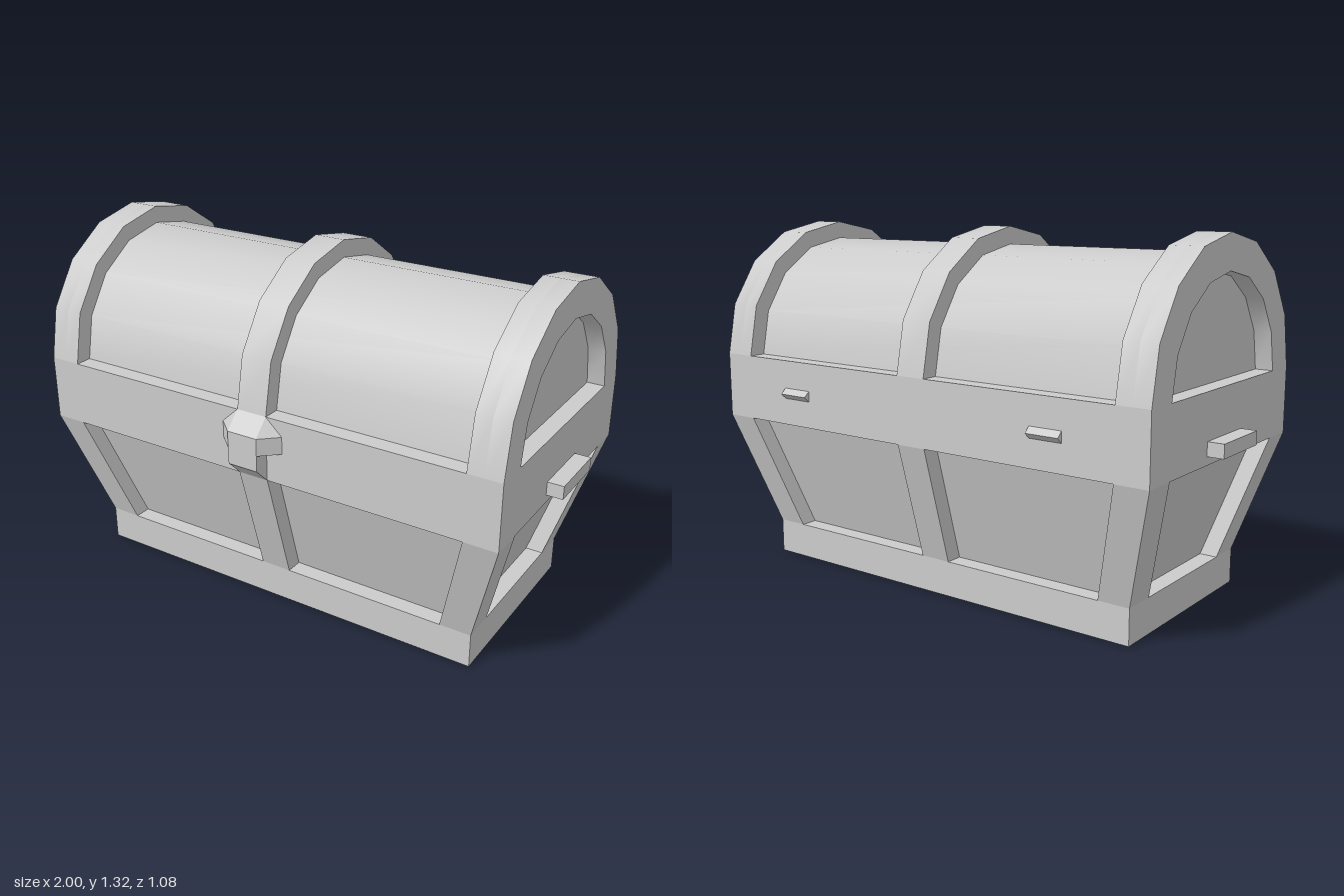
import * as THREE from 'three';
import { toCreasedNormals } from 'three/addons/utils/BufferGeometryUtils.js';
import { ConvexGeometry } from 'three/addons/geometries/ConvexGeometry.js';

const BASE = 0.13, BELT = 0.57, RIM = 0.815, INSET = 0.065;
const material = new THREE.MeshStandardMaterial({ color: 0xcccccc });

// Half-circle points [z, y] standing on the rim
function arc(radius) {
  return Array.from({ length: 9 }, (_, i) => {
    const a = (i * Math.PI) / 8;
    return [radius * Math.cos(a), RIM + radius * Math.sin(a)];
  });
}

// A [z, y] outline swept from x0 to x1
function alongX(points, x0, x1) {
  const shape = new THREE.Shape(points.map(([z, y]) => new THREE.Vector2(z, y)));
  const geo = new THREE.ExtrudeGeometry(shape, { depth: x1 - x0, bevelEnabled: false });
  geo.rotateY(-Math.PI / 2).translate(x1, 0, 0);
  return toCreasedNormals(geo, 0.6);
}

// Block between y0 and y1 whose bottom and top rectangles are [x0, x1, z0, z1]
function loft(bottom, top, y0, y1) {
  const geo = new THREE.BoxGeometry(1, 1, 1);
  const p = geo.attributes.position;
  for (let i = 0; i < p.count; i++) {
    const r = p.getY(i) > 0 ? top : bottom;
    p.setXYZ(i, p.getX(i) > 0 ? r[1] : r[0], p.getY(i) > 0 ? y1 : y0, p.getZ(i) > 0 ? r[3] : r[2]);
  }
  geo.computeVertexNormals();
  return geo;
}

const rect = (x, z) => [-x, x, -z, z];
const span = (s, a, b) => (s > 0 ? [a, b] : [-b, -a]);

export function createModel() {
  const chest = new THREE.Group();
  chest.name = 'chest';
  const add = (name, geo) => {
    const mesh = new THREE.Mesh(geo, material);
    mesh.name = name;
    chest.add(mesh);
  };

  // Body: plinth, recessed flared panels and belt
  add('plinth', loft(rect(0.81, 0.375), rect(0.81, 0.375), 0, BASE));
  add('bodyPanels', loft(rect(0.81 - INSET, 0.375 - INSET), rect(0.94 - INSET, 0.5 - INSET), BASE, BELT));
  add('belt', loft(rect(0.94, 0.5), rect(0.94, 0.5), BELT, RIM));

  // Flared frame posts on the corners and the middle of front and back
  for (const sz of [1, -1]) {
    for (const sx of [1, -1]) {
      add('cornerPost', loft(
        [...span(sx, 0.69, 0.81), ...span(sz, 0.25, 0.375)],
        [...span(sx, 0.815, 0.94), ...span(sz, 0.375, 0.5)], BASE, BELT));
    }
    add('middlePost', loft(
      [-0.06, 0.06, ...span(sz, 0.25, 0.375)],
      [-0.06, 0.06, ...span(sz, 0.375, 0.5)], BASE, BELT));
  }

  // Lid: barrel, middle rib, and end ribs with recessed end panels
  add('lidBarrel', alongX(arc(0.435), -0.83, 0.83));
  add('middleRib', alongX(arc(0.5), -0.06, 0.06));
  const arch = [...arc(0.5), ...arc(0.375).reverse()];
  for (const s of [1, -1]) {
    add('endPanel', alongX(arc(0.5), ...span(s, 0.815, 0.94 - INSET)));
    add('endRib', alongX(arch, ...span(s, 0.94 - INSET, 0.94)));
  }

  // Side handles and rear hinges
  for (const s of [1, -1]) {
    const foot = [...span(s, 0.93, 1), -0.125, 0.125];
    add('handle', loft(foot, foot, 0.6, 0.65));
    add('hinge', alongX([[-0.5, 0.67], [-0.5, 0.71], [-0.522, 0.69]], ...span(s, 0.5, 0.625)));
  }

  // Front clasp with tapered wings
  add('clasp', alongX([[0.5, BELT], [0.56, 0.63], [0.56, 0.755], [0.5, RIM]], -0.06, 0.06));
  for (const s of [1, -1]) {
    const corners = [
      [0.125, 0.69, 0.5], [0.125, 0.755, 0.5], [0.06, 0.69, 0.56],
      [0.06, 0.755, 0.56], [0.06, RIM, 0.5], [0.06, 0.69, 0.5],
    ];
    add('claspWing', new ConvexGeometry(corners.map(([x, y, z]) => new THREE.Vector3(s * x, y, z))));
  }

  chest.position.z = -0.02;
  return chest;
}
